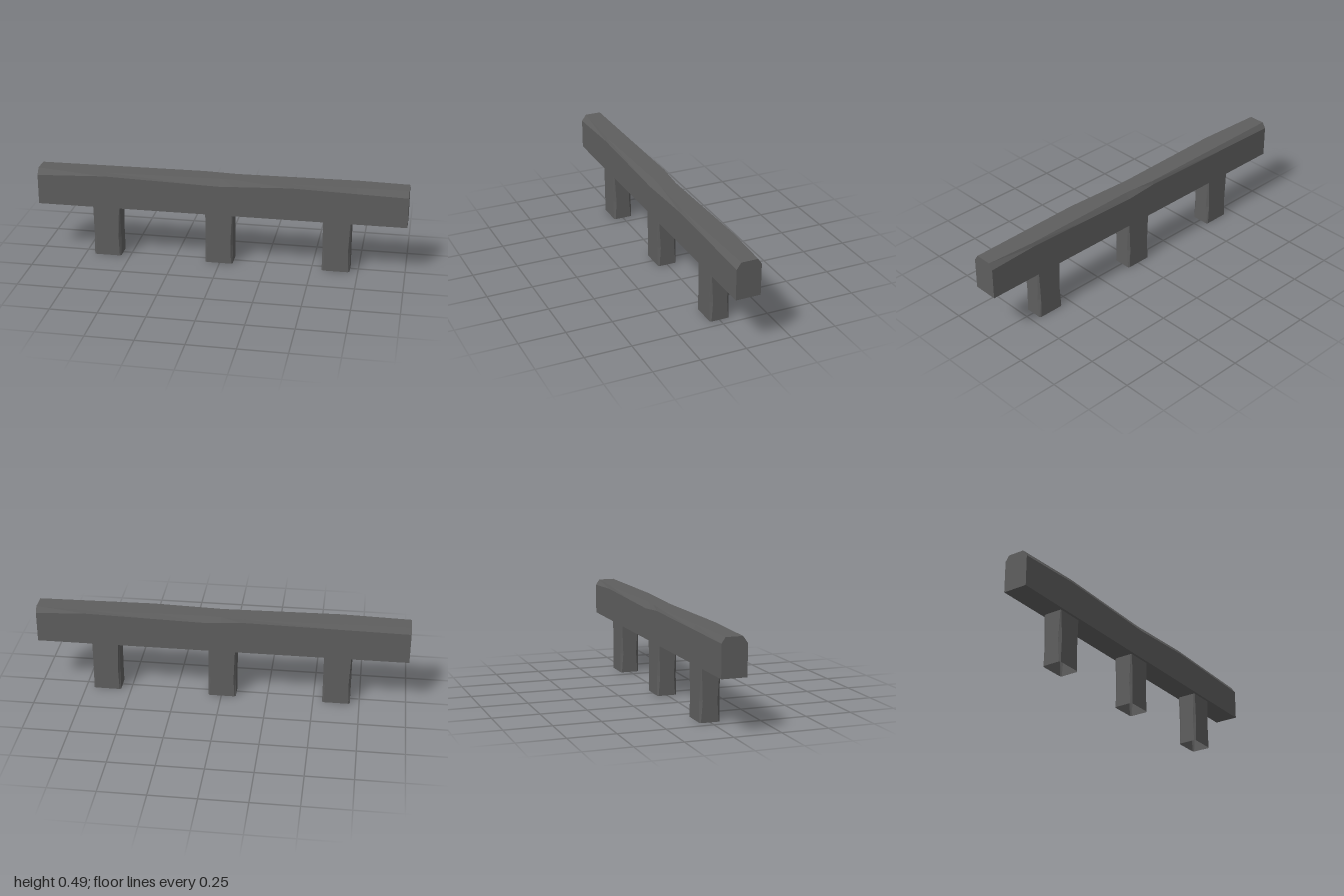
import * as THREE from 'three';

// Skins a row of matching closed rings with flat faces; caps are optional.
function loft(rings, capped) {
  const pos = [];
  const tri = (a, b, c) => pos.push(...a, ...b, ...c);
  const n = rings[0].length;
  for (let r = 0; r < rings.length - 1; r++) {
    for (let i = 0; i < n; i++) {
      const j = (i + 1) % n;
      const a = rings[r][i], b = rings[r][j], c = rings[r + 1][j], d = rings[r + 1][i];
      tri(a, b, c);
      tri(a, c, d);
    }
  }
  if (capped) {
    const first = rings[0], last = rings[rings.length - 1];
    for (let i = 1; i < n - 1; i++) {
      tri(first[0], first[i + 1], first[i]);
      tri(last[0], last[i], last[i + 1]);
    }
  }
  const geo = new THREE.BufferGeometry();
  geo.setAttribute('position', new THREE.Float32BufferAttribute(pos, 3));
  geo.computeVertexNormals();
  return geo;
}

// Straight-line interpolation through [x, value] keys.
function sample(keys, x) {
  for (let i = 1; i < keys.length; i++) {
    const [x0, v0] = keys[i - 1], [x1, v1] = keys[i];
    if (x <= x1) return v0 + (v1 - v0) * (x - x0) / (x1 - x0);
  }
  return keys[keys.length - 1][1];
}

export function createModel() {
  const group = new THREE.Group();
  const stone = new THREE.MeshStandardMaterial({ color: 0x5e5e5e, side: THREE.DoubleSide });
  stone.name = 'dark grey';

  // Beam: top edges worn by a bevel whose width wanders along the length
  const top = 0.486, bottom = 0.286, half = 0.067;
  const frontWear = [[-1, 0.025], [-0.63, 0.009], [0, 0.026], [0.38, 0.009], [1, 0.024]];
  const backWear = [[-1, 0.02], [-0.1, 0.008], [0.08, 0.022], [0.73, 0.008], [1, 0.021]];
  const stations = [...new Set([...frontWear, ...backWear].map(k => k[0]))].sort((a, b) => a - b);
  const beam = new THREE.Mesh(loft(stations.map(x => {
    const f = sample(frontWear, x), b = sample(backWear, x);
    return [
      [x, top, b - half], [x, top, half - f], [x, top - f - 0.01, half],
      [x, bottom, half], [x, bottom, -half], [x, top - b - 0.01, -half],
    ];
  }), true), stone);
  beam.name = 'beam';
  group.add(beam);

  // Posts: hollow, open underneath, with unevenly bevelled upright corners
  const front = 0.053, back = -0.055, w = 0.075;
  // [height, front bevel depth, back bevel depth, bevel width]
  const levels = [[0, 0.008, 0.006, 0.008], [0.11, 0.015, 0.015, 0.012], [0.288, 0.004, 0.009, 0.005]];
  const postGeo = loft(levels.map(([y, f, b, c]) => [
    [c - w, y, front], [w - c, y, front], [w, y, front - f], [w, y, back + b],
    [w - c, y, back], [c - w, y, back], [-w, y, back + b], [-w, y, front - f],
  ]), false);
  ['rightPost', 'middlePost', 'leftPost'].forEach((name, i) => {
    const post = new THREE.Mesh(postGeo, stone);
    post.name = name;
    post.position.x = [-0.625, -0.004, 0.631][i];
    group.add(post);
  });

  return group;
}
